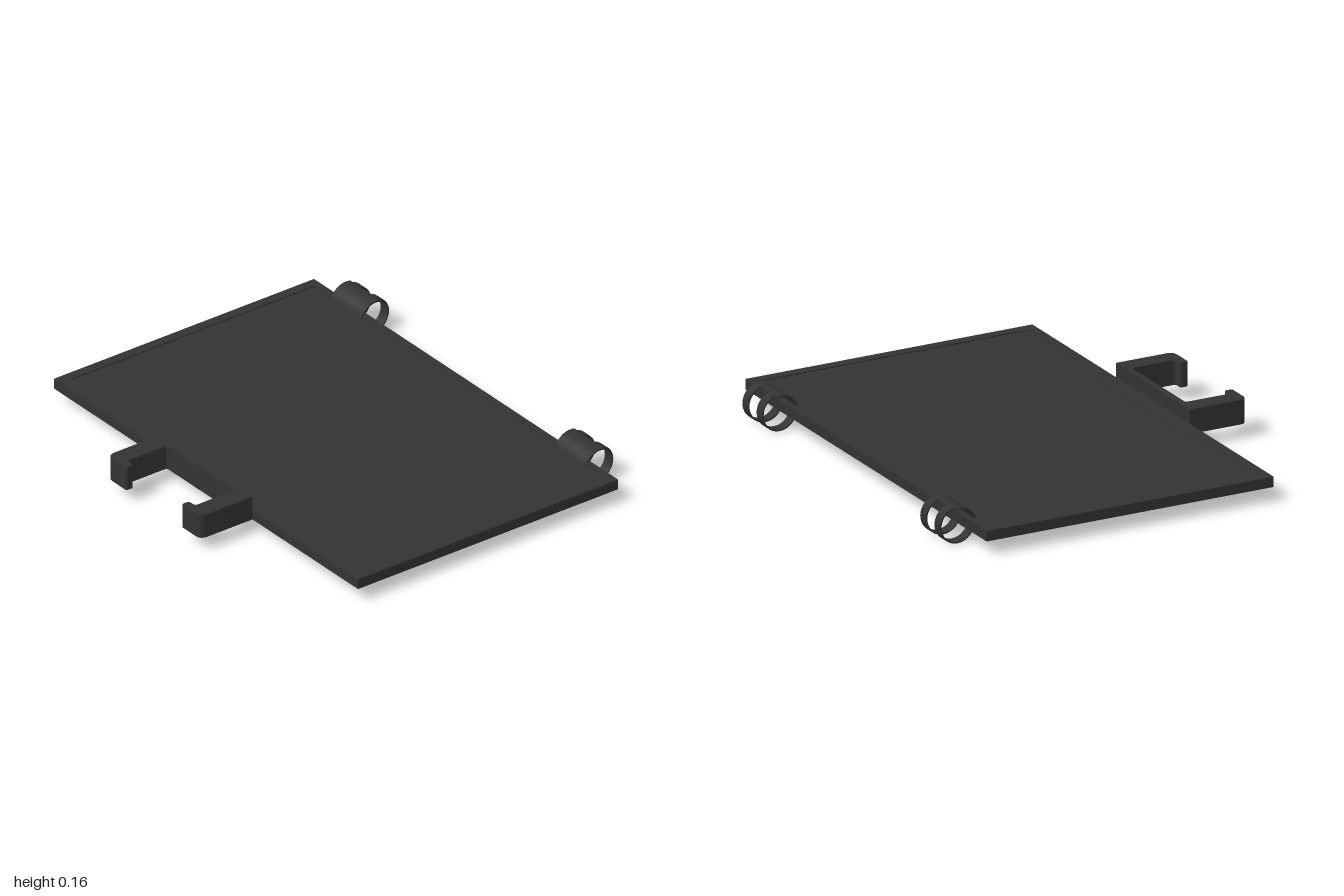
import * as THREE from 'three';
import { toCreasedNormals } from 'three/addons/utils/BufferGeometryUtils.js';

const charcoal = new THREE.MeshStandardMaterial({ color: 0x333333 });
charcoal.name = 'charcoal plastic';

// Extrudes a shape with smooth curves and sharp edges
function extrude(shape, depth) {
  const geo = new THREE.ExtrudeGeometry(shape, { depth, bevelEnabled: false, curveSegments: 20 });
  return toCreasedNormals(geo, 0.6);
}

function addMesh(parent, name, geo) {
  const mesh = new THREE.Mesh(geo, charcoal);
  mesh.name = name;
  parent.add(mesh);
  return mesh;
}

// Slab seen from above: shape y is -z, thickness runs from y0 to y1
function slab(shape, y0, y1) {
  return extrude(shape, y1 - y0).rotateX(-Math.PI / 2).translate(0, y0, 0);
}

// Closed outline from [x, z, cornerRadius] points
function roundedOutline(points, PathType = THREE.Shape) {
  const path = new PathType();
  const v = points.map(([x, z]) => new THREE.Vector2(x, -z));
  const n = v.length;
  const towards = (a, b, d) => a.clone().add(b.clone().sub(a).setLength(d));
  v.forEach((p, i) => {
    const r = points[i][2] || 0;
    const before = r ? towards(p, v[(i + n - 1) % n], r) : p;
    if (i === 0) path.moveTo(before.x, before.y);
    else path.lineTo(before.x, before.y);
    if (r) {
      const after = towards(p, v[(i + 1) % n], r);
      path.quadraticCurveTo(p.x, p.y, after.x, after.y);
    }
  });
  path.closePath();
  return path;
}

// Band curved around the hinge axis; angle 0 points back, PI/2 up
function band(r, thickness, start, end, x0, x1) {
  const shape = new THREE.Shape();
  if (end - start >= Math.PI * 2) {
    shape.absarc(0, 0, r, 0, Math.PI * 2, false);
    const hole = new THREE.Path();
    hole.absarc(0, 0, r - thickness, 0, Math.PI * 2, true);
    shape.holes.push(hole);
  } else {
    shape.absarc(0, 0, r, start, end, false);
    shape.absarc(0, 0, r - thickness, end, start, true);
    shape.closePath();
  }
  return extrude(shape, x1 - x0).rotateY(Math.PI / 2).translate(x0, 0, 0);
}

export function createModel() {
  const model = new THREE.Group();
  model.name = 'hingedCover';

  // Flat cover panel
  const outer = [[-1, 0.578], [1, 0.578], [1, -0.727], [-1, -0.727]];
  addMesh(model, 'coverPanel', slab(roundedOutline(outer), 0.06, 0.099));

  // Shallow rim around the panel, widened in the middle of the front edge
  const rim = roundedOutline(outer);
  rim.holes.push(roundedOutline([
    [-0.957, 0.537, 0.02], [-0.53, 0.537, 0.05], [-0.4, 0.503, 0.05],
    [0.4, 0.503, 0.05], [0.53, 0.537, 0.05], [0.957, 0.537, 0.02],
    [0.957, -0.699, 0.02], [-0.957, -0.699, 0.02],
  ], THREE.Path));
  addMesh(model, 'panelRim', slab(rim, 0.099, 0.104));

  // Front latch with two inward hooks
  const latch = roundedOutline([
    [-0.306, 0.578], [-0.306, 0.838, 0.035], [-0.182, 0.838, 0.01], [-0.182, 0.802, 0.01],
    [-0.222, 0.802, 0.014], [-0.222, 0.604, 0.014], [0.222, 0.604, 0.014], [0.222, 0.802, 0.014],
    [0.182, 0.802, 0.01], [0.182, 0.838, 0.01], [0.306, 0.838, 0.035], [0.306, 0.578],
  ]);
  addMesh(model, 'frontLatch', slab(latch, 0.06, 0.165));

  // Hinge clips: a wide sleeve over the edge and two narrow rings
  for (const [name, side] of [['leftHinge', 1], ['rightHinge', -1]]) {
    const hinge = new THREE.Group();
    hinge.name = name;
    hinge.position.set(side * 0.737, 0.0785, -0.761);
    addMesh(hinge, 'hingeSleeve', band(0.0775, 0.006, 1.26, Math.PI, -0.099, 0.099));
    for (const x of [-0.059, 0.059]) {
      addMesh(hinge, 'hingeRing', band(0.0785, 0.006, 0, Math.PI * 2, x - 0.024, x + 0.024));
    }
    model.add(hinge);
  }
  return model;
}
